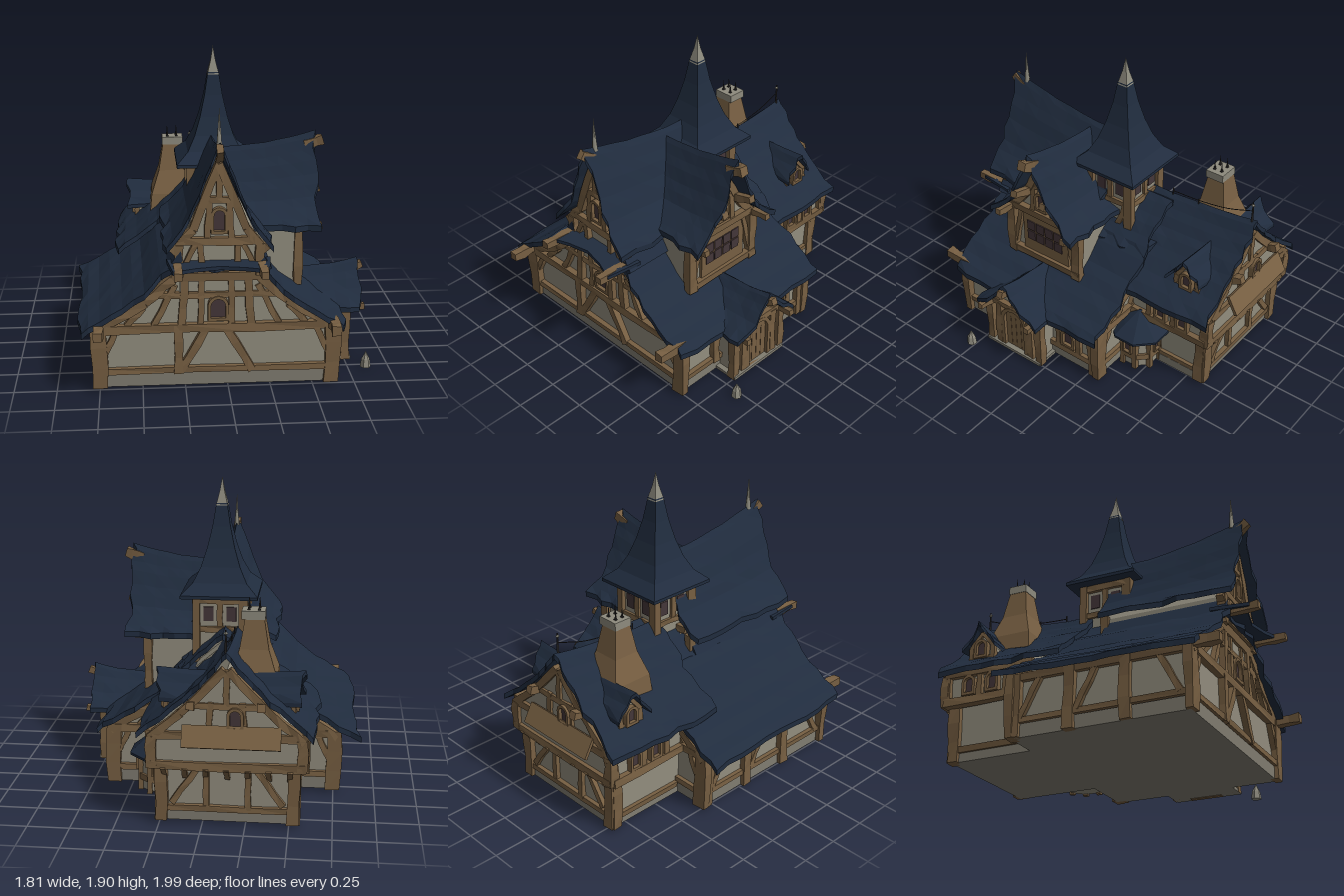
import * as THREE from 'three';

const mat = (name, color) => Object.assign(new THREE.MeshStandardMaterial({ color }), { name });
const M = {
  roof: mat('slate blue roof', 0x202c3e), wood: mat('timber', 0x775f42), plank: mat('dark planks', 0x5f4a34),
  plaster: mat('plaster', 0x928d7e), stone: mat('stone', 0x807c70), pale: mat('pale stone', 0x8e8b7e),
  glass: mat('dark glass', 0x443639), iron: mat('iron', 0x2c2a2a),
};
let seed = 7;
const rnd = () => { seed = (seed * 16807) % 2147483647; return seed / 2147483647 - 0.5; };
const flat = (g) => { const f = g.index ? g.toNonIndexed() : g; f.computeVertexNormals(); return f; };
const V = (p) => new THREE.Vector3(...p);

function add(parent, name, geo, material, pos = [0, 0, 0]) {
  const m = new THREE.Mesh(geo, material);
  m.name = name;
  m.position.set(...pos);
  parent.add(m);
  return m;
}
function sub(parent, name, pos, ry = 0) {
  const g = new THREE.Group();
  g.name = name;
  g.position.set(...pos);
  g.rotation.y = ry;
  parent.add(g);
  return g;
}
// Hand-hewn beam between two points
function beam(parent, a, b, w = 0.04, d = w, name = 'beam') {
  const A = V(a), B = V(b), len = A.distanceTo(B);
  const g = new THREE.BoxGeometry(w, len, d, 1, 3, 1), p = g.attributes.position;
  const k = rnd() * 50;
  for (let i = 0; i < p.count; i++) {
    const x = p.getX(i), y = p.getY(i), z = p.getZ(i);
    const n = 1 + 0.16 * Math.sin(y * 37 + k + Math.sign(x) * 2);
    p.setXYZ(i, x * n, y, z * n);
  }
  const m = add(parent, name, flat(g), M.wood, A.clone().add(B).multiplyScalar(0.5).toArray());
  m.quaternion.setFromUnitVectors(new THREE.Vector3(0, 1, 0), B.sub(A).normalize());
}
// Timber frame in one plane: [x1, y1, x2, y2, width]
const frame = (parent, z, list, name = 'timberFrame') => {
  const g = sub(parent, name, [0, 0, z]);
  list.forEach(([x1, y1, x2, y2, w = 0.035]) => beam(g, [x1, y1, 0], [x2, y2, 0], w, Math.min(w, 0.05)));
};
const mirror = (half) => [...half, ...half.filter((p) => p[0] > 0).reverse().map(([x, y]) => [-x, y])];
function prism(parent, name, material, pts, z0, z1) {
  const s = new THREE.Shape(pts.map((p) => new THREE.Vector2(...p)));
  return add(parent, name, new THREE.ExtrudeGeometry(s, { depth: z1 - z0, bevelEnabled: false }), material, [0, 0, z0]);
}
const box = (parent, name, material, x0, x1, y0, y1, z0, z1) => add(parent, name,
  new THREE.BoxGeometry(x1 - x0, y1 - y0, z1 - z0), material, [(x0 + x1) / 2, (y0 + y1) / 2, (z0 + z1) / 2]);

// Closed skin through cross-section rings, with strip caps
function loft(rings) {
  const n = rings[0].length, h = n / 2, pos = rings.flat(2), idx = [], L = (rings.length - 1) * n;
  for (let j = 0; j < rings.length - 1; j++) for (let k = 0; k < n; k++) {
    const a = j * n + k, b = j * n + (k + 1) % n;
    idx.push(a, a + n, b, b, a + n, b + n);
  }
  for (let k = 0; k < h - 1; k++) {
    const t = k, u = k + 1, c = n - 1 - k, d = n - 2 - k;
    idx.push(L + t, L + c, L + u, L + u, L + c, L + d, t, u, c, u, d, c);
  }
  const g = new THREE.BufferGeometry();
  g.setAttribute('position', new THREE.Float32BufferAttribute(pos, 3));
  g.setIndex(idx);
  return flat(g);
}
// Sagging roof, ridge along local z, with ragged courses; taper narrows the z1 end
function roof(parent, name, prof, z0, z1, lift0, lift1, n = 9, N = 8, thick = 0.036, taper = 0) {
  const curve = new THREE.SplineCurve(prof.map((p) => new THREE.Vector2(...p)));
  const rings = [];
  for (let j = 0; j <= N; j++) {
    const v = j / N, top = [], end = j === 0 || j === N;
    for (let i = -n; i <= n; i++) {
      const t = Math.abs(i) / n, p = curve.getPoint(t);
      const x = Math.sign(i) * p.x * (1 - taper * v) + (t === 1 ? rnd() * 0.035 : 0);
      const lift = (lift0 * (1 - v) ** 2 + lift1 * v * v) * (1 - t);
      top.push([x, p.y + lift + (i % 2 ? 0.007 : 0) + rnd() * 0.008, z0 + (z1 - z0) * v + (end ? rnd() * 0.04 : 0)]);
    }
    rings.push([...top, ...top.map(([x, y, z]) => [x, y - thick, z]).reverse()]);
  }
  return add(parent, name, loft(rings), M.roof);
}
// Four-sided or round turned body from a profile
const turned = (parent, name, material, prof, pos, sides = 4) => {
  const k = sides === 4 ? Math.SQRT2 : 1;
  const g = new THREE.LatheGeometry(prof.map(([r, y]) => new THREE.Vector2(r * k, y)), sides);
  g.rotateY(Math.PI / sides);
  return add(parent, name, flat(g), material, pos);
};
// Arched opening with frame; centre x, sill y
function arched(parent, name, x, y, z, w, h, fill = M.glass, rim = 0.018) {
  const g = sub(parent, name, [x, y, z]);
  const arch = (T, r, b, t) => {
    const s = new T();
    s.moveTo(-r, b); s.lineTo(r, b); s.lineTo(r, t);
    s.absarc(0, t, r, 0, Math.PI, false);
    s.lineTo(-r, b);
    return s;
  };
  const outer = arch(THREE.Shape, w / 2 + rim, -rim, h - w / 2);
  outer.holes.push(arch(THREE.Path, w / 2, 0, h - w / 2));
  add(g, 'frame', new THREE.ExtrudeGeometry(outer, { depth: 0.035, bevelEnabled: false, curveSegments: 5 }), M.wood);
  add(g, 'panel', new THREE.ExtrudeGeometry(arch(THREE.Shape, w / 2, 0, h - w / 2),
    { depth: 0.009, bevelEnabled: false, curveSegments: 5 }), fill, [0, 0, 0.004]);
}

export function createModel() {
  const root = new THREE.Group();
  root.name = 'timberHouse';
  const R = Math.PI / 2;

  // Stone footing
  box(root, 'mainFooting', M.stone, -0.76, 0.62, 0.02, 0.1, -0.33, 0.755);
  box(root, 'rearFooting', M.stone, -0.54, 0.27, 0.02, 0.08, -0.86, -0.3);
  box(root, 'doorStep', M.stone, 0.55, 0.78, 0.02, 0.04, 0.02, 0.46);

  // Main block: skirt roof around the upper storey, full gable behind it
  const main = sub(root, 'mainBlock', [-0.07, 0, 0]);
  prism(main, 'mainWalls', M.plaster, mirror([[0.68, 0.03], [0.68, 0.39], [0.41, 0.56], [0.26, 0.7], [0, 0.92]]), -0.32, 0.74);
  const skirt = roof(main, 'mainRoof', [[0, 0.77], [0.26, 0.762], [0.42, 0.615], [0.62, 0.485], [0.81, 0.38]], -0.37, 0.82, 0, 0, 12, 10, 0.036, 0.05);
  skirt.position.x = -0.015;
  roof(main, 'mainRoofBack', [[0, 1], [0.15, 0.865], [0.28, 0.74]], -0.36, 0.06, 0, 0, 6, 5);
  const mainFrame = [[-0.64, 0.38, 0.64, 0.38, 0.05], [-0.66, 0.12, 0.66, 0.12, 0.035]];
  for (const s of [-1, 1]) mainFrame.push(
    [s * 0.68, 0.02, s * 0.68, 0.4, 0.09], [s * 0.7, 0.365, s * 0.41, 0.54, 0.05], [s * 0.41, 0.54, s * 0.25, 0.68, 0.05],
    [s * 0.21, 0.11, s * 0.06, 0.37, 0.045], [s * 0.52, 0.4, s * 0.42, 0.51], [s * 0.36, 0.4, s * 0.24, 0.64],
    [s * 0.2, 0.4, s * 0.18, 0.7, 0.045], [s * 0.09, 0.4, s * 0.085, 0.7], [s * 0.66, 0.2, s * 0.58, 0.37]);
  frame(main, 0.755, [...mainFrame, [-0.22, 0.1, -0.22, 0.4, 0.05], [-0.36, 0.58, 0.36, 0.58], [-0.26, 0.69, 0.26, 0.69, 0.05]], 'frontFrame');
  frame(main, -0.33, mainFrame, 'backFrame');
  arched(main, 'frontWindow', 0.01, 0.44, 0.745, 0.085, 0.115);
  for (const x of [-0.68, 0.68]) beam(main, [x, 0.395, 0.72], [x, 0.4, 0.93], 0.055, 0.055, 'eaveBeam');

  // Upper storey, steep gable to the front
  const upper = sub(root, 'upperStorey', [-0.055, 0, 0]);
  prism(upper, 'upperWalls', M.plaster, mirror([[0.23, 0.6], [0.23, 0.88], [0.12, 1.1], [0, 1.34]]), 0.03, 0.76);
  roof(upper, 'upperRoof', [[0, 1.36], [0.06, 1.25], [0.13, 1.1], [0.2, 0.985], [0.31, 0.885]], -0.01, 0.85, 0, 0.135);
  for (const s of [-1, 1]) prism(upper, 'skirtTop', M.roof, [[s * 0.22, 0.87], [s * 0.3, 0.745], [s * 0.27, 0.72], [s * 0.21, 0.8]], 0.02, 0.8);
  const upperFrame = [[-0.25, 0.75, 0.25, 0.75, 0.04], [-0.2, 0.91, 0.2, 0.91, 0.045]], barge = [[-0.09, 1.15, 0.09, 1.15], [0, 1.15, 0, 1.36]];
  for (const s of [-1, 1]) {
    upperFrame.push([s * 0.23, 0.7, s * 0.23, 0.89, 0.05], [s * 0.1, 0.74, s * 0.11, 0.92], [s * 0.2, 0.76, s * 0.13, 0.9, 0.03], [s * 0.07, 0.92, s * 0.055, 1.14]);
    barge.push([s * 0.27, 0.845, s * 0.15, 0.98, 0.045], [s * 0.15, 0.98, 0, 1.36, 0.045]);
  }
  frame(upper, 0.775, [...upperFrame, ...barge], 'upperFrontFrame');
  frame(upper, 0.02, upperFrame, 'upperBackFrame');
  arched(upper, 'gableWindow', 0, 0.97, 0.762, 0.06, 0.12);
  beam(upper, [0, 1.39, 0.77], [0, 1.465, 0.875], 0.04, 0.055, 'ridgeBeam');
  for (const s of [-1, 1]) beam(upper, [s * 0.24, 0.765, 0.78], [s * 0.24, 0.77, 1.0], 0.045, 0.045, 'pentBeam');
  const pent = prism(upper, 'pentRoof', M.roof,
    [[-0.3, -0.72], [-0.27, -0.95], [-0.14, -0.9], [0, -0.87], [0.14, -0.9], [0.27, -0.95], [0.3, -0.72]], 0, 0.022);
  pent.rotation.x = -R;
  pent.position.y = 0.765;
  add(upper, 'frontFinial', new THREE.ConeGeometry(0.018, 0.22, 6), M.pale, [0, 1.56, 0.77]);

  // Large right dormer, ridge along x
  const dormer = sub(root, 'rightDormer', [0, 0, 0.235], R);
  prism(dormer, 'dormerWalls', M.plaster, mirror([[0.26, 0.5], [0.26, 0.9], [0.12, 1.07], [0, 1.3]]), -0.05, 0.42);
  roof(dormer, 'dormerRoof', [[0, 1.33], [0.05, 1.235], [0.12, 1.1], [0.2, 0.99], [0.32, 0.91]], -0.04, 0.56, 0, 0.09);
  box(dormer, 'windowSurround', M.wood, -0.17, 0.19, 0.55, 0.88, 0.41, 0.44);
  for (let i = 0; i < 4; i++) for (let j = 0; j < 2; j++)
    box(dormer, 'windowPane', M.glass, -0.135 + i * 0.072, -0.073 + i * 0.072, 0.68 + j * 0.075, 0.745 + j * 0.075, 0.438, 0.446);
  const dFrame = [[-0.24, 0.9, 0.24, 0.9, 0.05], [-0.28, 0.57, 0.28, 0.57, 0.05], [-0.09, 1.11, 0.09, 1.11], [0, 1.11, 0, 1.28]];
  for (const s of [-1, 1]) dFrame.push([s * 0.26, 0.54, s * 0.26, 0.89, 0.06], [s * 0.27, 0.87, s * 0.14, 1.015, 0.045],
    [s * 0.14, 1.015, 0, 1.28, 0.045], [s * 0.08, 0.92, s * 0.07, 1.11], [s * 0.24, 0.62, s * 0.18, 0.88, 0.03]);
  frame(dormer, 0.435, dFrame, 'dormerFrame');
  arched(dormer, 'dormerGableWindow', -0.01, 0.96, 0.425, 0.06, 0.1);
  beam(dormer, [0, 1.33, 0.5], [0, 1.365, 0.61], 0.06, 0.06, 'ridgeBeam');
  for (const s of [-1, 1]) {
    beam(dormer, [s * 0.11, 1.06, 0.43], [s * 0.11, 1.1, 0.575], 0.045, 0.045, 'purlin');
    beam(dormer, [s * 0.26, 0.885, 0.42], [s * 0.26, 0.9, 0.575], 0.04, 0.04, 'eaveBeam');
  }

  // Entrance gable on the right
  const entry = sub(root, 'entrance', [0, 0, 0.235], R);
  prism(entry, 'entranceWalls', M.plaster, mirror([[0.19, 0.03], [0.19, 0.35], [0.08, 0.43], [0, 0.52]]), 0.4, 0.73);
  roof(entry, 'entranceRoof', [[0, 0.55], [0.05, 0.5], [0.13, 0.43], [0.25, 0.37]], 0.38, 0.84, 0, 0.06, 6, 6, 0.03);
  const eFrame = [[-0.18, 0.36, 0.18, 0.36, 0.04], [0, 0.37, 0, 0.52]];
  for (const s of [-1, 1]) eFrame.push([s * 0.2, 0.02, s * 0.2, 0.35, 0.05], [s * 0.21, 0.335, s * 0.1, 0.42, 0.035],
    [s * 0.1, 0.42, 0, 0.52, 0.035], [s * 0.13, 0.03, s * 0.125, 0.36, 0.045]);
  frame(entry, 0.745, eFrame, 'entranceFrame');
  arched(entry, 'door', 0, 0.04, 0.732, 0.16, 0.3, M.wood, 0.025);
  for (const x of [-0.04, 0, 0.04]) box(entry, 'doorGroove', M.plank, x - 0.002, x + 0.002, 0.05, 0.28, 0.742, 0.747);
  beam(entry, [0, 0.52, 0.76], [0, 0.565, 0.875], 0.04, 0.04, 'ridgeBeam');
  for (const s of [-1, 1]) beam(entry, [s * 0.19, 0.345, 0.72], [s * 0.19, 0.36, 0.86], 0.035, 0.035, 'eaveBeam');

  // Right and left side framing of the main block
  const sideR = sub(root, 'rightSide', [0.61, 0, 0], R), sideL = sub(root, 'leftSide', [-0.75, 0, 0], -R);
  frame(sideR, 0.01, [[-0.74, 0.37, 0.32, 0.37, 0.045], [-0.74, 0.12, 0.32, 0.12], [0.3, 0.02, 0.3, 0.39, 0.07],
    [-0.48, 0.1, -0.48, 0.38, 0.05], [0.02, 0.1, 0.02, 0.38], [0.18, 0.1, 0.18, 0.38]], 'rightFrame');
  arched(sideR, 'rightWindow', 0.1, 0.17, 0, 0.07, 0.1);
  frame(sideL, 0.01, [[-0.32, 0.37, 0.74, 0.37, 0.045], [-0.32, 0.12, 0.74, 0.12], ...[-0.3, 0.04, 0.38].map((x) => [x, 0.02, x, 0.39, 0.065]),
    [-0.27, 0.13, -0.15, 0.36], [0.08, 0.13, 0.2, 0.36], [0.7, 0.13, 0.58, 0.36]], 'leftFrame');

  // Rear wing with jettied upper floor
  const rear = sub(root, 'rearWing', [-0.145, 0, 0]);
  prism(rear, 'rearLowerWalls', M.plaster, mirror([[0.39, 0.03], [0.39, 0.38]]), -0.85, -0.3);
  prism(rear, 'rearUpperWalls', M.plaster, mirror([[0.43, 0.37], [0.43, 0.57], [0.28, 0.69], [0, 0.94]]), -0.9, -0.25);
  roof(rear, 'rearRoof', [[0, 1], [0.12, 0.87], [0.28, 0.735], [0.505, 0.575]], -0.93, -0.12, 0.06, 0, 10, 8);
  for (const s of [-1, 1]) {
    const side = sub(rear, 'rearSide', [0, 0, -0.6], s * R), post = s > 0 ? [-0.12, 0.06, 0.28] : [-0.28, -0.06, 0.12];
    frame(side, 0.44, [[-0.3, 0.38, 0.3, 0.38, 0.05], [-0.3, 0.555, 0.3, 0.555, 0.045], ...post.map((x) => [x, 0.37, x, 0.56])], 'jettyFrame');
    for (const x of [-0.03, 0.13]) arched(side, 'jettyWindow', x * s, 0.425, 0.432, 0.055, 0.09);
    frame(side, 0.395, [[-0.25, 0.09, 0.25, 0.09], [s * 0.24, 0.02, s * 0.24, 0.38, 0.065]], 'lowerFrame');
  }
  const back = sub(rear, 'rearGable', [0, 0, -0.85], Math.PI);
  const backUp = [[-0.45, 0.38, 0.45, 0.38, 0.05], [-0.42, 0.56, 0.42, 0.56, 0.045], [-0.22, 0.74, 0.22, 0.74], [0, 0.74, 0, 0.95]];
  const backLow = [[-0.38, 0.1, 0.38, 0.1], [-0.12, 0.1, -0.12, 0.37], [0.12, 0.1, 0.12, 0.37]];
  for (const s of [-1, 1]) {
    backUp.push([s * 0.43, 0.36, s * 0.43, 0.55, 0.06], [s * 0.44, 0.54, s * 0.26, 0.69, 0.045], [s * 0.26, 0.69, s * 0.01, 0.95, 0.045], [s * 0.1, 0.58, s * 0.09, 0.76]);
    backLow.push([s * 0.38, 0.02, s * 0.38, 0.38, 0.07], [s * 0.32, 0.13, s * 0.16, 0.36]);
  }
  frame(back, 0.05, backUp, 'backGableFrame');
  frame(back, 0.01, backLow, 'backLowerFrame');
  arched(back, 'backGableWindow', 0.05, 0.62, 0.05, 0.06, 0.1);
  for (let i = -3; i <= 3; i++) beam(back, [i * 0.12, 0.29, 0.0], [i * 0.12, 0.37, 0.07], 0.03, 0.03, 'jettyBracket');
  const awning = add(back, 'backAwning', new THREE.BoxGeometry(0.56, 0.13, 0.02), M.wood, [0.03, 0.57, 0.1]);
  awning.rotation.x = -0.5;
  for (const x of [-0.2, 0.2]) beam(back, [x, 0.73, 0.03], [x, 0.76, 0.13], 0.045, 0.045, 'purlinEnd');

  // Small dormers across the rear wing
  const small = sub(root, 'rearDormers', [-0.15, 0, -0.7], R);
  prism(small, 'smallDormerWalls', M.plaster, mirror([[0.075, 0.6], [0.075, 0.74], [0, 0.84]]), -0.36, 0.36);
  roof(small, 'smallDormerRoof', [[0, 0.86], [0.05, 0.8], [0.11, 0.74]], -0.42, 0.41, 0.04, 0.04, 4, 6, 0.025);
  for (const s of [-1, 1]) {
    const face = sub(small, 'smallDormerFace', [0, 0, 0], s > 0 ? 0 : Math.PI);
    frame(face, 0.365, [[-0.075, 0.62, -0.075, 0.74, 0.03], [0.075, 0.62, 0.075, 0.74, 0.03], [-0.08, 0.67, 0.08, 0.67, 0.025],
      [-0.08, 0.735, 0, 0.84, 0.025], [0.08, 0.735, 0, 0.84, 0.025]]);
    arched(face, 'smallDormerWindow', 0, 0.685, 0.362, 0.055, 0.085);
  }

  // Corner bay with its own little roof
  const bay = sub(root, 'cornerBay', [0.31, 0, -0.42]);
  turned(bay, 'bayWalls', M.plaster, [[0, 0.04], [0.12, 0.04], [0.12, 0.3]], [0, 0, 0], 8);
  turned(bay, 'baySill', M.wood, [[0, 0.1], [0.135, 0.1], [0.135, 0.14], [0, 0.14]], [0, 0, 0], 8);
  turned(bay, 'bayRoof', M.roof, [[0, 0.26], [0.185, 0.26], [0.185, 0.275], [0.11, 0.335], [0, 0.41]], [0, 0, 0], 8);
  for (let i = 0; i < 8; i++) {
    const a = (i + 0.5) * Math.PI / 4;
    beam(bay, [0.12 * Math.sin(a), 0.03, 0.12 * Math.cos(a)], [0.12 * Math.sin(a), 0.28, 0.12 * Math.cos(a)], 0.03, 0.03, 'bayPost');
    if (i % 2 === 0) arched(sub(bay, 'baySide', [0, 0, 0], i * Math.PI / 4), 'bayWindow', 0, 0.16, 0.108, 0.045, 0.08, M.glass, 0.01);
  }

  // Central tower with flared spire
  const tower = sub(root, 'tower', [-0.035, 0, -0.035]);
  box(tower, 'towerWalls', M.plaster, -0.145, 0.145, 0.6, 1.2, -0.145, 0.145);
  for (let i = 0; i < 4; i++) {
    const f = sub(tower, 'towerSide', [0, 0, 0], i * R);
    frame(f, 0.145, [[0.145, 0.68, 0.145, 1.2, 0.06], [-0.16, 1.165, 0.16, 1.165, 0.045], [-0.15, 0.98, 0.15, 0.98, 0.035],
      [0, 1.0, 0, 1.17, 0.035], [0.04, 0.75, 0.12, 0.97, 0.035]]);
    for (const x of [-0.07, 0.07]) box(f, 'towerWindow', M.glass, x - 0.03, x + 0.03, 1.03, 1.12, 0.145, 0.152);
  }
  turned(tower, 'spireRoof', M.roof, [[0, 1.18], [0.235, 1.185], [0.235, 1.205], [0.165, 1.27], [0.12, 1.36], [0.085, 1.47], [0.055, 1.6], [0.033, 1.74]], [0, 0, 0]);
  turned(tower, 'spireTip', M.pale, [[0, 1.72], [0.036, 1.725], [0.015, 1.81], [0, 1.9]], [0, 0, 0]);

  // Chimney with stone cap and flue spikes
  const chimney = sub(root, 'chimney', [-0.28, 0, -0.58]);
  turned(chimney, 'chimneyStack', M.wood, [[0.16, 0.6], [0.135, 0.85], [0.085, 1.0], [0.055, 1.18]], [0, 0, 0]);
  box(chimney, 'chimneyCap', M.pale, -0.06, 0.075, 1.17, 1.22, -0.06, 0.06);
  for (const x of [-0.025, 0.035]) for (const z of [-0.025, 0.025]) {
    box(chimney, 'flue', M.iron, x - 0.008, x + 0.008, 1.22, 1.225, z - 0.008, z + 0.008);
    add(chimney, 'flueSpike', new THREE.ConeGeometry(0.007, 0.07, 5), M.iron, [x, 1.255, z]);
  }

  // Ridge finial and sagging chain along the rear ridge
  add(root, 'rearFinial', new THREE.CylinderGeometry(0.004, 0.009, 0.16, 5), M.iron, [-0.14, 1.1, -0.9]);
  add(root, 'rearFinialKnob', new THREE.OctahedronGeometry(0.014), M.pale, [-0.14, 1.16, -0.9]);
  const chain = new THREE.CatmullRomCurve3([[-0.14, 1.12, -0.9], [-0.14, 1.06, -0.72], [-0.14, 1.03, -0.52], [-0.14, 1.02, -0.33]].map(V));
  add(root, 'ridgeChain', new THREE.TubeGeometry(chain, 16, 0.003, 4), M.iron);
  for (const z of [-0.33, -0.52]) add(root, 'chainPost', new THREE.CylinderGeometry(0.005, 0.005, 0.08, 5), M.iron, [-0.14, 1.0, z]);

  // Standing stone by the entrance
  turned(root, 'standingStone', M.pale, [[0, 0], [0.033, 0], [0.026, 0.05], [0, 0.1]], [0.86, 0, 0.53], 6);
  return root;
}
